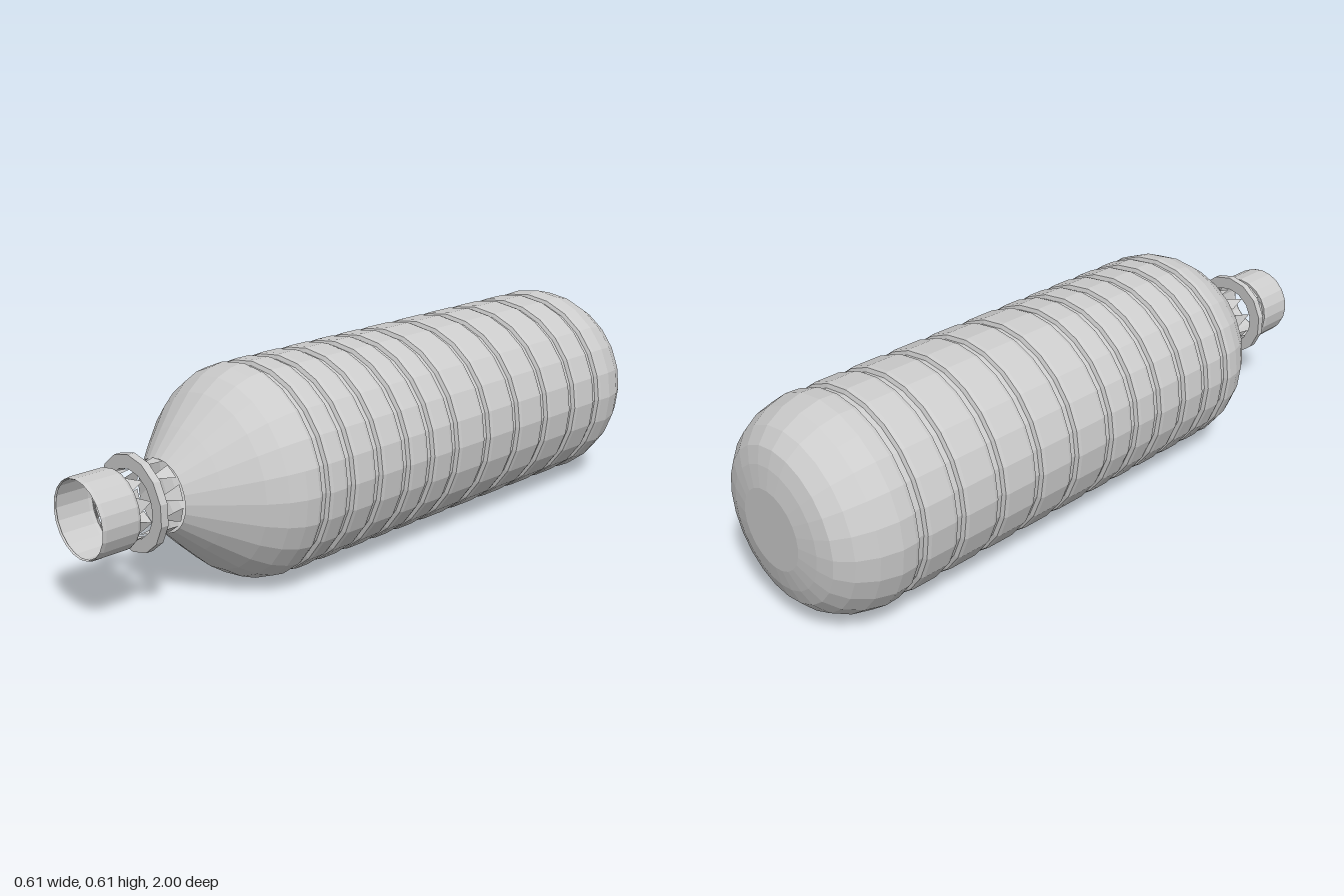
import * as THREE from 'three';

const AXIS_Y = 0.308;
const material = new THREE.MeshStandardMaterial({
  color: 0xcccccc, flatShading: true, side: THREE.DoubleSide,
});

// Surface of revolution along z from [z, radius] pairs, ordered front to back
function turned(name, profile, sides, x = 0) {
  const points = profile.map(([z, r]) => new THREE.Vector2(r, z)).reverse();
  const geometry = new THREE.LatheGeometry(points, sides).rotateX(Math.PI / 2);
  const mesh = new THREE.Mesh(geometry, material);
  mesh.name = name;
  mesh.position.set(x, AXIS_Y, 0);
  return mesh;
}

// Ring of triangular teeth, wide at zBase and pointed at zTip
function teeth(name, count, zBase, zTip, rBase, rTip, fill, x) {
  const positions = [];
  const add = (a, r, z) => positions.push(Math.sin(a) * r, Math.cos(a) * r, z);
  const step = (Math.PI * 2) / count;
  for (let i = 0; i < count; i++) {
    const a = i * step;
    add(a - step * fill / 2, rBase, zBase);
    add(a + step * fill / 2, rBase, zBase);
    add(a, rTip, zTip);
  }
  const geometry = new THREE.BufferGeometry();
  geometry.setAttribute('position', new THREE.Float32BufferAttribute(positions, 3));
  geometry.computeVertexNormals();
  const mesh = new THREE.Mesh(geometry, material);
  mesh.name = name;
  mesh.position.set(x, AXIS_Y, 0);
  return mesh;
}

export function createModel() {
  const bottle = new THREE.Group();
  bottle.name = 'bottle';

  // Body: tapered shoulder, grooved barrel, rounded base
  const grooves = [0.443, 0.35, 0.245, 0.135, 0.035, -0.07, -0.21, -0.347, -0.485, -0.625, -0.752];
  const profile = [[0.75, 0.1], [0.68, 0.17], [0.6, 0.245], [0.55, 0.279], [0.505, 0.297]];
  for (const z of grooves) {
    profile.push([z + 0.025, 0.303], [z + 0.014, 0.3], [z + 0.009, 0.289],
      [z - 0.009, 0.289], [z - 0.014, 0.3], [z - 0.025, 0.303]);
  }
  profile.push([-0.82, 0.305], [-0.88, 0.29], [-0.935, 0.26], [-0.972, 0.22],
    [-0.988, 0.175], [-1, 0.115], [-1, 0]);
  bottle.add(turned('body', profile, 24));

  // Broken neck: teeth joining the shoulder, collar and mouth
  const neckX = -0.01;
  bottle.add(teeth('neckTeeth', 10, 0.748, 0.822, 0.1, 0.092, 0.7, neckX));
  bottle.add(teeth('mouthTeeth', 10, 0.888, 0.838, 0.1, 0.092, 0.75, neckX));

  // Collar ring
  bottle.add(turned('collar',
    [[0.842, 0.095], [0.842, 0.133], [0.82, 0.133], [0.82, 0.095], [0.842, 0.095]], 14, neckX));

  // Open mouth tube
  bottle.add(turned('mouth',
    [[0.995, 0.104], [1, 0.107], [0.99, 0.11], [0.895, 0.11], [0.886, 0.106], [0.886, 0.094]], 20, neckX));

  return bottle;
}
